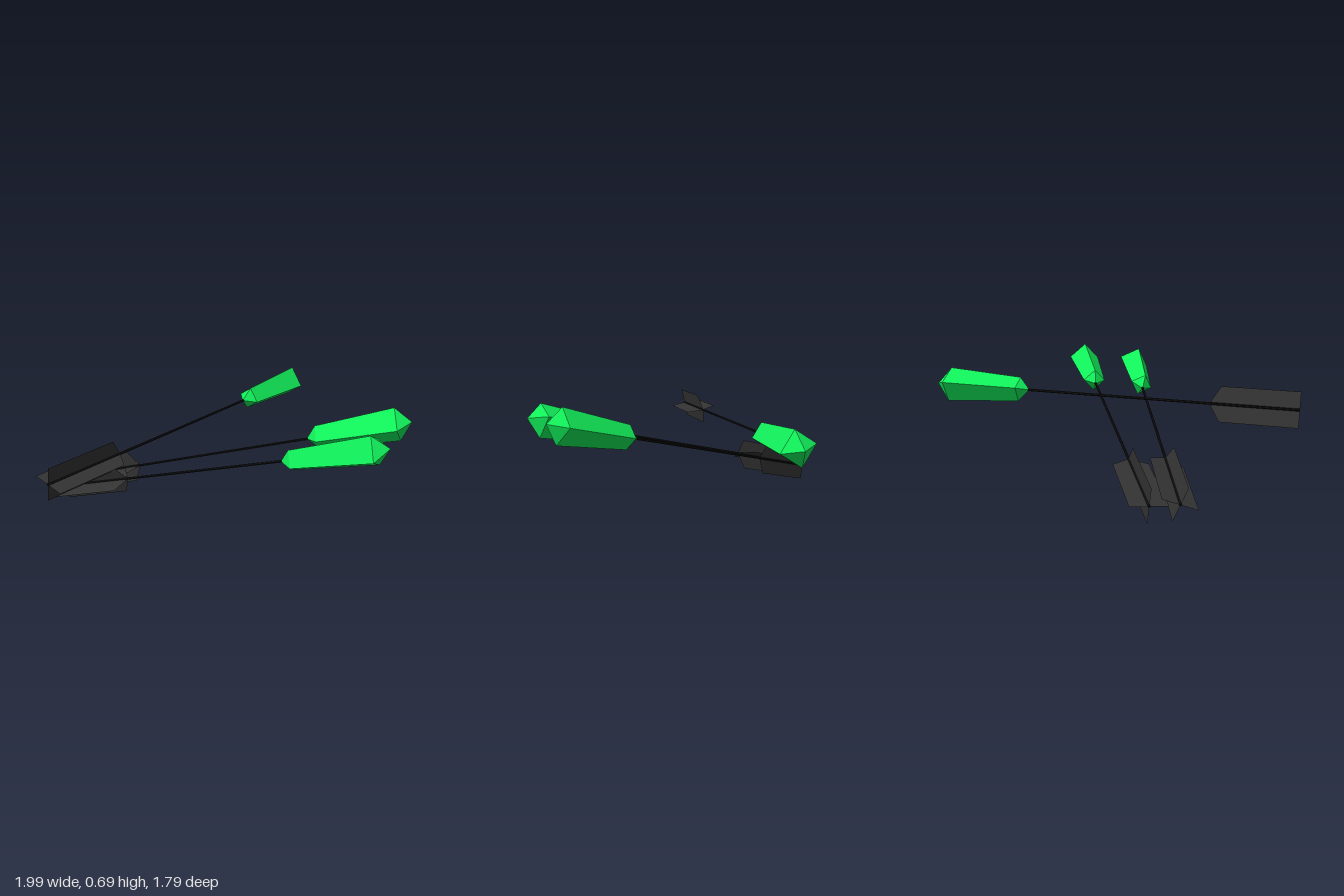
import * as THREE from 'three';

const green = new THREE.MeshStandardMaterial({ color: 0x11f05a, flatShading: true });
const black = new THREE.MeshStandardMaterial({ color: 0x111111, flatShading: true });
const grey = new THREE.MeshStandardMaterial({ color: 0x333333, flatShading: true, side: THREE.DoubleSide });

function addMesh(parent, name, geometry, material) {
  const mesh = new THREE.Mesh(geometry, material);
  mesh.name = name;
  parent.add(mesh);
  return mesh;
}

// One arrow running from its tail to its tip, rolled about its own axis
function createArrow(name, tail, tip, rollDegrees) {
  const arrow = new THREE.Group();
  arrow.name = name;
  const start = new THREE.Vector3(...tail);
  const forward = new THREE.Vector3(...tip).sub(start);
  const length = forward.length();
  const neck = length - 0.565;
  forward.normalize();

  // Thin shaft along local +z
  const shaft = new THREE.CylinderGeometry(0.007, 0.007, neck + 0.02, 6);
  shaft.rotateX(Math.PI / 2).translate(0, 0, (neck + 0.02) / 2);
  addMesh(arrow, 'shaft', shaft, black);

  // Four-sided crystal head, widening towards a blunt point
  const profile = [[0, neck], [0.067, neck + 0.06], [0.095, length - 0.075], [0, length]];
  const head = new THREE.LatheGeometry(profile.map(([r, y]) => new THREE.Vector2(r, y)), 4);
  head.rotateX(Math.PI / 2);
  addMesh(arrow, 'crystalHead', head, green);

  // Two crossed vanes with swept leading edges
  const outline = [[-0.093, 0], [0.093, 0], [0.093, 0.4], [0, 0.455], [-0.093, 0.4]];
  const vaneShape = new THREE.Shape(outline.map(([x, y]) => new THREE.Vector2(x, y)));
  for (const [vaneName, angle] of [['sideVane', 0], ['uprightVane', Math.PI / 2]]) {
    const vane = new THREE.ShapeGeometry(vaneShape);
    vane.rotateX(Math.PI / 2).rotateZ(angle);
    addMesh(arrow, vaneName, vane, grey);
  }

  // Aim the arrow, then roll it
  const side = new THREE.Vector3(0, 1, 0).cross(forward).normalize();
  const up = forward.clone().cross(side);
  arrow.quaternion.setFromRotationMatrix(new THREE.Matrix4().makeBasis(side, up, forward));
  arrow.rotateZ(THREE.MathUtils.degToRad(rollDegrees));
  arrow.position.copy(start);
  return arrow;
}

export function createModel() {
  const model = new THREE.Group();
  model.name = 'arrows';
  model.add(
    createArrow('crossingArrow', [-0.71, 0.465, 0.85], [0.3, 0.53, -0.9], 12),
    createArrow('rearArrow', [-0.96, 0.1, -0.015], [0.995, 0.625, 0.103], 2),
    createArrow('frontArrow', [-0.97, 0.1, 0.13], [0.88, 0.6, 0.434], 20),
  );
  return model;
}
